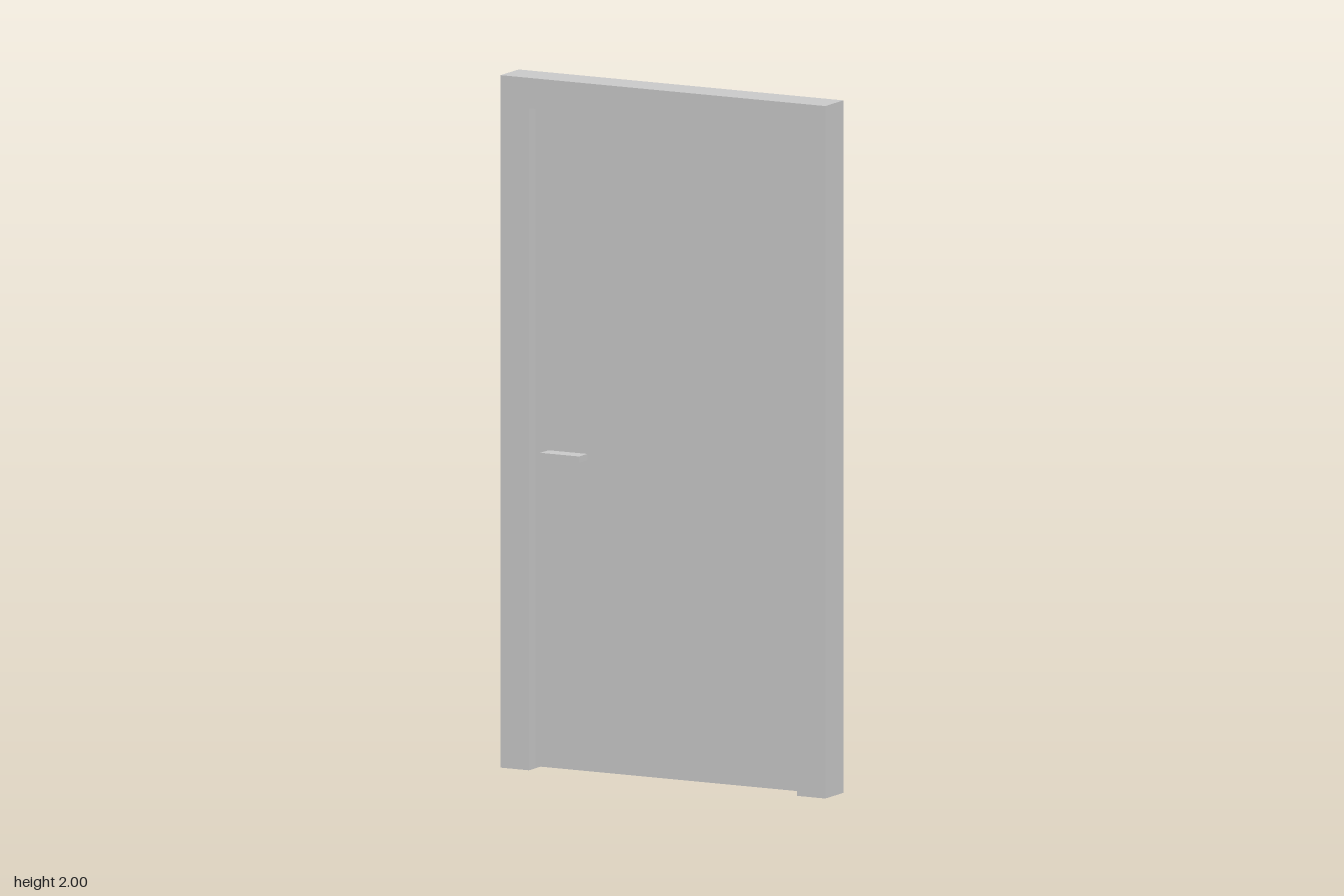
import * as THREE from 'three';

const material = new THREE.MeshStandardMaterial({ color: 0xcccccc });

// Box given by its two extreme corners
function box(name, [x0, y0, z0], [x1, y1, z1]) {
  const mesh = new THREE.Mesh(new THREE.BoxGeometry(x1 - x0, y1 - y0, z1 - z0), material);
  mesh.name = name;
  mesh.position.set((x0 + x1) / 2, (y0 + y1) / 2, (z0 + z1) / 2);
  return mesh;
}

export function createModel() {
  const group = new THREE.Group();
  group.name = 'door';

  const W = 0.527, H = 2;            // frame half width and height
  const w = 0.435, h = 1.912;        // opening half width and height
  const back = -0.058, front = 0.049;

  // Frame: one arch of two jambs and a lintel
  const outline = new THREE.Shape([
    [-W, 0], [-w, 0], [-w, h], [w, h], [w, 0], [W, 0], [W, H], [-W, H],
  ].map(([x, y]) => new THREE.Vector2(x, y)));
  const frame = new THREE.Mesh(
    new THREE.ExtrudeGeometry(outline, { depth: front - back, bevelEnabled: false }), material);
  frame.name = 'frame';
  frame.position.z = back;
  group.add(frame);

  // Door leaf, recessed on both faces and just clear of the floor
  group.add(box('doorLeaf', [-w, 0.006, -0.019], [w, h, 0.01]));

  // Bar handle on the front face
  group.add(box('handle', [-0.393, 0.904, 0.01], [-0.267, 0.922, 0.058]));

  return group;
}
